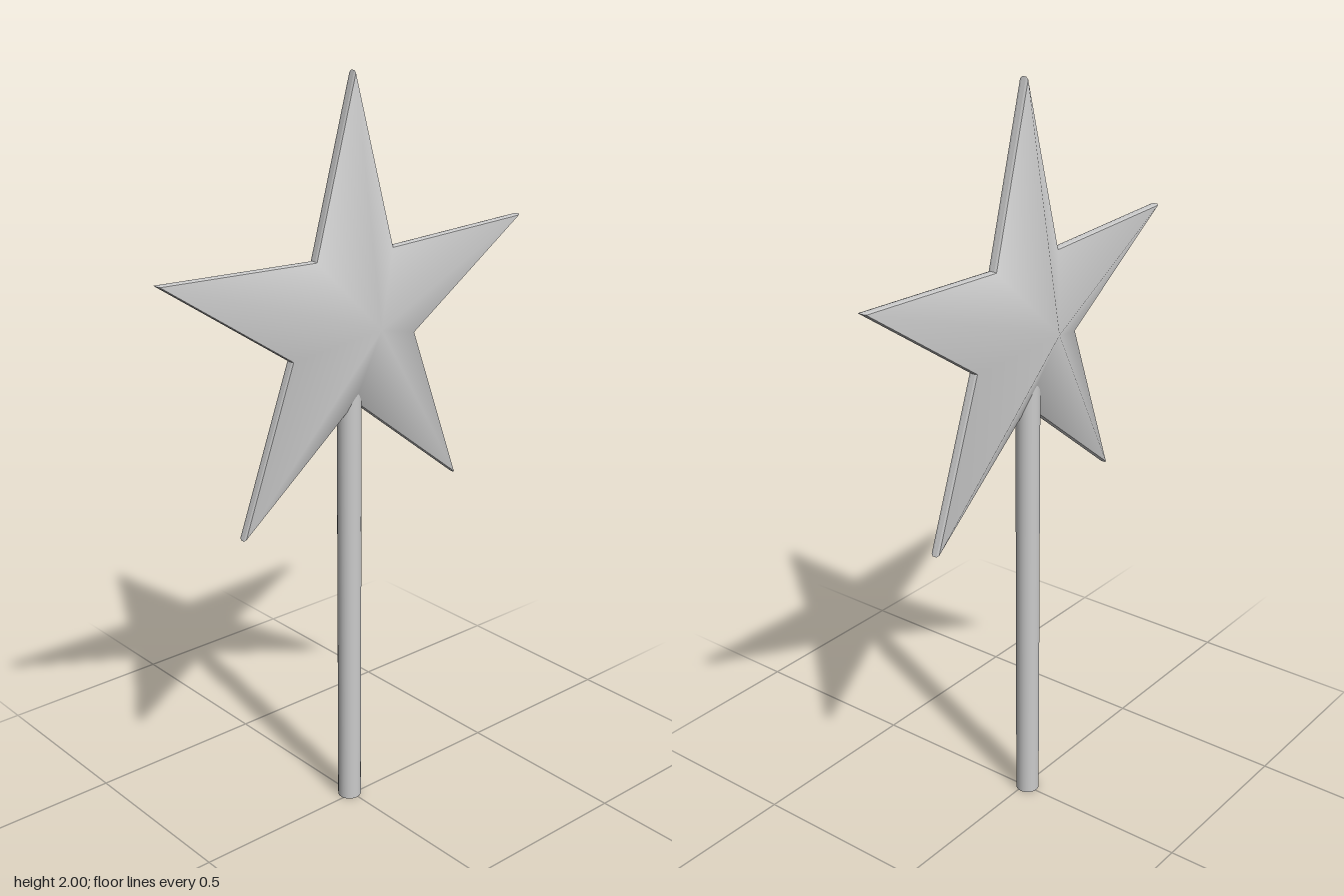
import * as THREE from 'three';

const CENTER_Y = 1.384, TIP = 0.616, NOTCH = 0.213, DEPTH = 0.11;
const POINTS = 10;

// One ring of the five-pointed outline, lying across x
function starRing(x, scale) {
  return Array.from({ length: POINTS }, (_, i) => {
    const a = (i * Math.PI) / 5;
    const r = (i % 2 ? NOTCH : TIP) * scale;
    return [x, r * Math.cos(a), r * Math.sin(a)];
  });
}

function geometryFrom(vertices, index) {
  const g = new THREE.BufferGeometry();
  g.setAttribute('position', new THREE.Float32BufferAttribute(vertices.flat(), 3));
  g.setIndex(index);
  g.computeVertexNormals();
  return g;
}

// Softly shaded pyramid face of the star; side is +1 or -1
function starFace(side) {
  const vertices = [[side * DEPTH, 0, 0], ...starRing(side * 0.012, 0.99)];
  const index = [];
  for (let i = 0; i < POINTS; i++) {
    const a = 1 + i, b = 1 + ((i + 1) % POINTS);
    index.push(0, ...(side > 0 ? [a, b] : [b, a]));
  }
  return geometryFrom(vertices, index);
}

// Narrow bevelled band joining the two faces
function starRim() {
  const rings = [[0.012, 0.99], [0.006, 1], [-0.006, 1], [-0.012, 0.99]];
  const vertices = rings.flatMap(([x, s]) => starRing(x, s));
  const index = [];
  for (let r = 0; r < rings.length - 1; r++) {
    for (let i = 0; i < POINTS; i++) {
      const j = (i + 1) % POINTS;
      const a = r * POINTS + i, b = r * POINTS + j;
      const c = a + POINTS, d = b + POINTS;
      index.push(a, c, b, b, c, d);
    }
  }
  const g = geometryFrom(vertices, index).toNonIndexed();
  g.computeVertexNormals();
  return g;
}

export function createModel() {
  const model = new THREE.Group();
  model.name = 'starWand';
  const material = new THREE.MeshStandardMaterial({ color: 0xcccccc });

  const add = (parent, name, geometry) => {
    const mesh = new THREE.Mesh(geometry, material);
    mesh.name = name;
    parent.add(mesh);
    return mesh;
  };

  // Star head, facing sideways
  const star = new THREE.Group();
  star.name = 'star';
  star.position.y = CENTER_Y;
  add(star, 'leftStarFace', starFace(1));
  add(star, 'rightStarFace', starFace(-1));
  add(star, 'starRim', starRim());
  model.add(star);

  // Round handle, its top hidden inside the star
  const length = 1.28;
  const handle = add(model, 'handle', new THREE.CylinderGeometry(0.032, 0.032, length, 24));
  handle.position.set(-0.009, length / 2, 0.004);

  return model;
}
